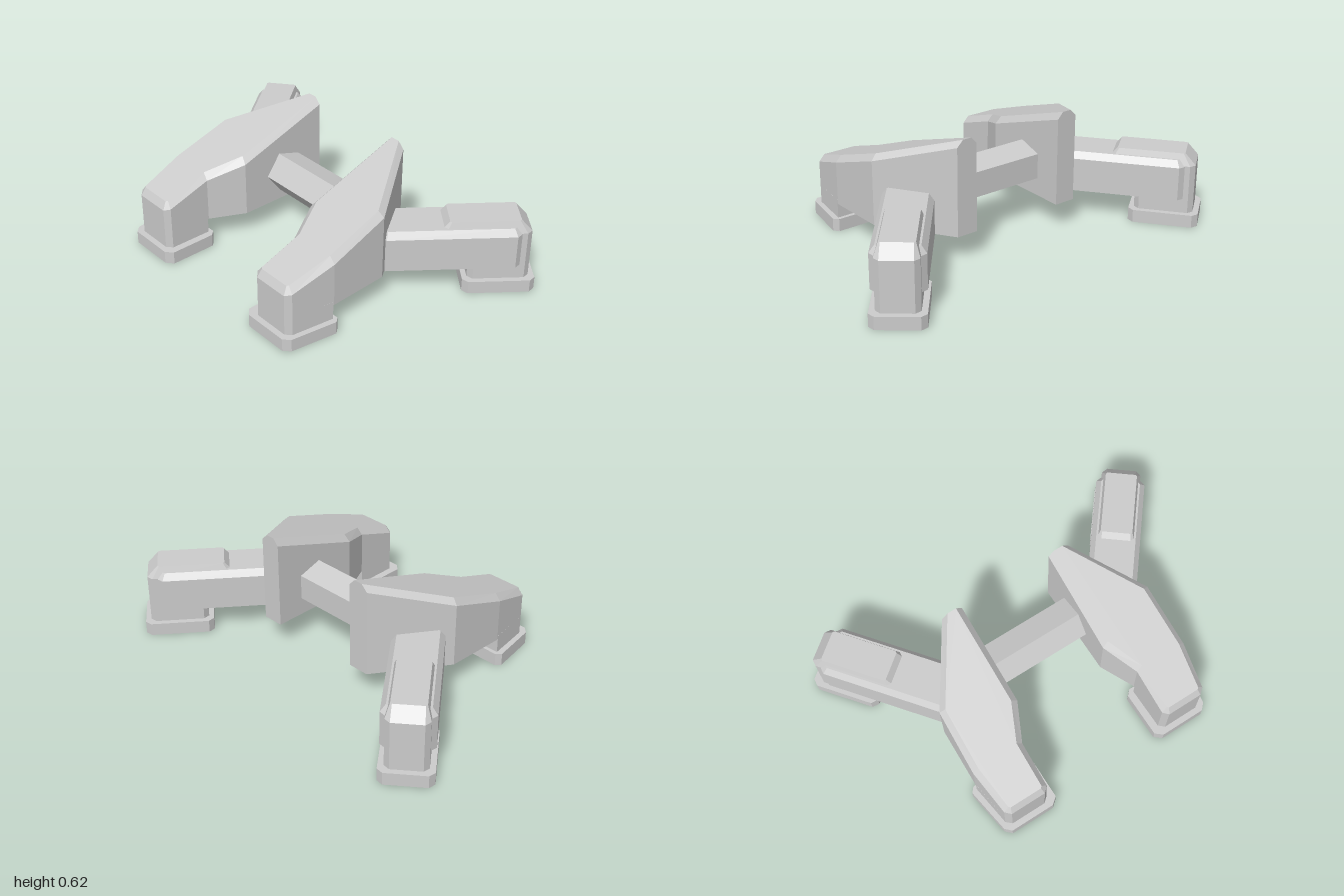
import * as THREE from 'three';

const material = new THREE.MeshStandardMaterial({ color: 0xcccccc, flatShading: true });

// Closed solid through matching rings of [x, y, z], listed from bottom to top.
function loft(rings) {
  const flat = r => r.map(p => new THREE.Vector2(p[0], -p[2]));
  if (THREE.ShapeUtils.area(flat(rings[0])) < 0) rings = rings.map(r => [...r].reverse());
  const n = rings[0].length, index = [];
  for (let k = 0; k < rings.length - 1; k++) {
    for (let i = 0; i < n; i++) {
      const a = k * n + i, b = k * n + (i + 1) % n;
      index.push(a, b, b + n, a, b + n, a + n);
    }
  }
  const top = (rings.length - 1) * n;
  for (const [a, b, c] of THREE.ShapeUtils.triangulateShape(flat(rings[0]), [])) index.push(a, c, b);
  for (const [a, b, c] of THREE.ShapeUtils.triangulateShape(flat(rings[rings.length - 1]), [])) {
    index.push(top + a, top + b, top + c);
  }
  let geo = new THREE.BufferGeometry();
  geo.setAttribute('position', new THREE.Float32BufferAttribute(rings.flat(2), 3));
  geo.setIndex(index);
  geo = geo.toNonIndexed();
  geo.computeVertexNormals();
  return geo;
}

// Rectangle with cut corners: u from u0 to u1, v within +-h.
const cutRect = (u0, u1, h, c) => [
  [u0, -h + c], [u0 + c, -h], [u1 - c, -h], [u1, -h + c],
  [u1, h - c], [u1 - c, h], [u0 + c, h], [u0, h - c],
];

export function createModel() {
  const model = new THREE.Group();
  model.name = 'supportFrame';
  const add = (name, geo, parent) => {
    const mesh = new THREE.Mesh(geo, material);
    mesh.name = name;
    parent.add(mesh);
    return mesh;
  };

  // Five-sided bar joining the two halves
  const bar = new THREE.CylinderGeometry(0.1106, 0.1106, 0.56, 5);
  bar.rotateY(-Math.PI / 2).rotateX(Math.PI / 2); // one corner faces -x
  add('crossBar', bar, model).position.set(0.0356, 0.2975, 0);

  // Plan outlines of the wedge body: full size and top face
  const bodyOuter = [
    [-0.635, 0.36], [-0.61, 0.333], [-0.39, 0.33], [-0.215, 0.245], [0.27, 0.245],
    [0.27, 0.355], [-0.08, 0.592], [-0.39, 0.603], [-0.61, 0.572], [-0.635, 0.545],
  ];
  const bodyTop = [
    [-0.613, 0.368], [-0.605, 0.36], [-0.385, 0.358], [-0.208, 0.275], [0.27, 0.275],
    [0.27, 0.322], [-0.09, 0.563], [-0.39, 0.573], [-0.605, 0.545], [-0.613, 0.537],
  ];
  const legOutline = [
    [-0.635, 0.36], [-0.61, 0.333], [-0.395, 0.331],
    [-0.395, 0.603], [-0.61, 0.572], [-0.635, 0.545],
  ];
  const padOutline = [
    [-0.665, 0.33], [-0.635, 0.295], [-0.4, 0.295], [-0.375, 0.32],
    [-0.375, 0.61], [-0.4, 0.632], [-0.635, 0.595], [-0.665, 0.565],
  ];
  const slope = (x, top) => top + 0.341 * (x - 0.27);

  // Arm axes: u runs outward along the arm, v across it
  const angle = THREE.MathUtils.degToRad(38.5);
  const c = Math.cos(angle), s = Math.sin(angle), mid = 0.344;

  for (const side of [1, -1]) {
    const half = new THREE.Group();
    half.name = side > 0 ? 'frontHalf' : 'backHalf';
    model.add(half);
    const ring = (pts, y) => pts.map(([x, z]) => [x, typeof y === 'function' ? y(x) : y, z * side]);
    const armRing = (pts, y) => ring(pts.map(([u, v]) => [u * c - (v + mid) * s, u * s + (v + mid) * c]), y);

    // Wedge body with bevelled top, leg and foot pad
    add('wedgeBody', loft([
      ring(bodyOuter, 0.14),
      ring(bodyOuter, x => slope(x, 0.587)),
      ring(bodyTop, x => slope(x, 0.62)),
    ]), half);
    add('bodyLeg', loft([ring(legOutline, 0.03), ring(legOutline, 0.16)]), half);
    add('bodyFootPad', loft([ring(padOutline, 0), ring(padOutline, 0.065)]), half);

    // Slanted arm with bevelled top
    const armOuter = cutRect(0.3, 0.965, 0.125, 0.027);
    add('arm', loft([
      armRing(armOuter, 0.14),
      armRing(armOuter, 0.312),
      armRing(cutRect(0.32, 0.94, 0.1, 0.015), 0.345),
    ]), half);

    // Raised cap at the arm's end
    add('armCap', loft([
      armRing(cutRect(0.575, 1.014, 0.1, 0.025), 0.25),
      armRing(cutRect(0.575, 1.014, 0.1, 0.025), 0.315),
      armRing(cutRect(0.625, 0.96, 0.08, 0.008), 0.375),
    ]), half);

    // Leg and foot pad under the arm
    const armLeg = cutRect(0.72, 1.014, 0.1, 0.025);
    add('armLeg', loft([armRing(armLeg, 0.03), armRing(armLeg, 0.3)]), half);
    const armPad = cutRect(0.695, 1.042, 0.128, 0.027);
    add('armFootPad', loft([armRing(armPad, 0), armRing(armPad, 0.065)]), half);
  }
  return model;
}
